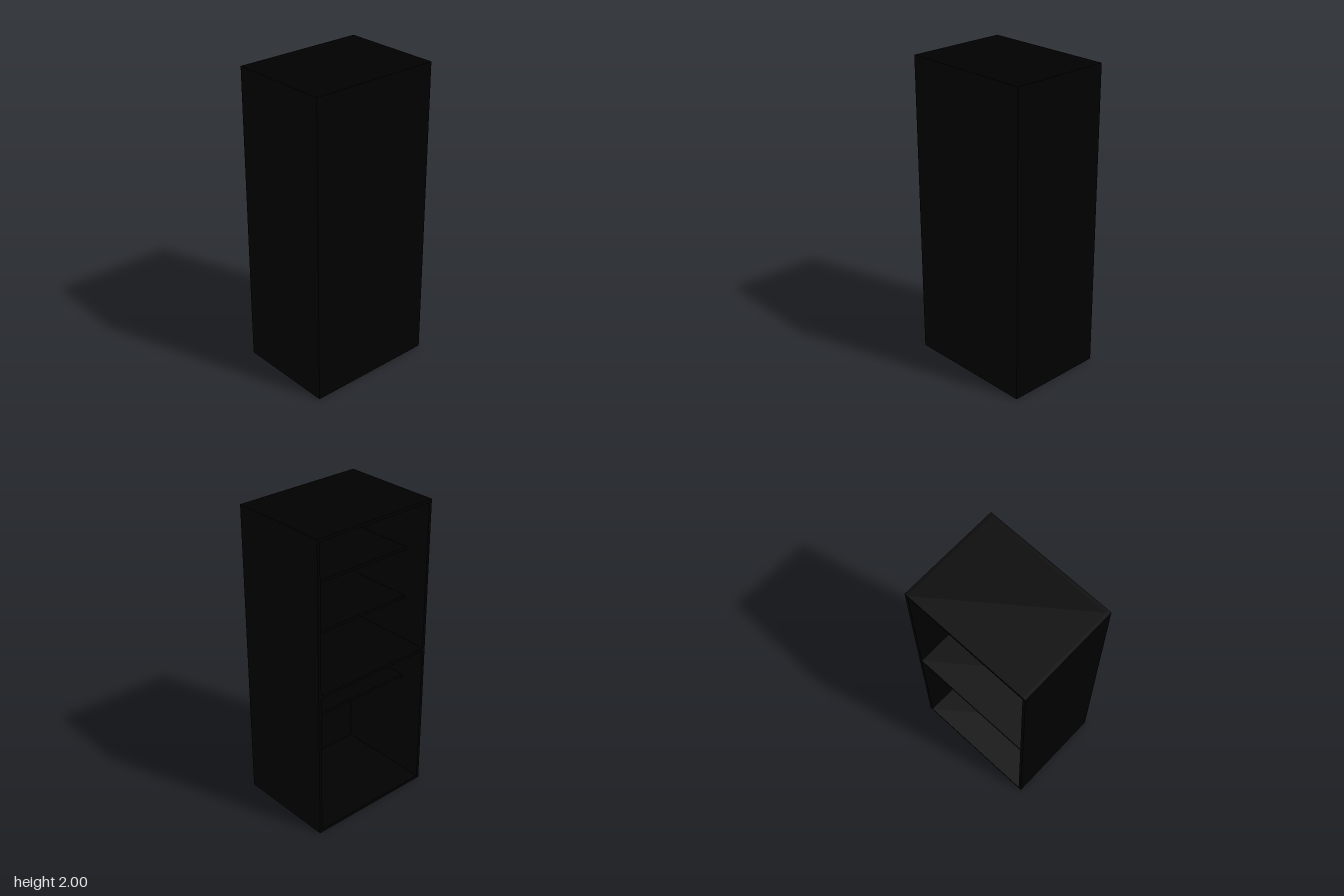
import * as THREE from 'three';

const W = 0.88, H = 2, D = 0.674, T = 0.02;

export function createModel() {
  const group = new THREE.Group();
  group.name = 'cabinet';
  const black = new THREE.MeshStandardMaterial({ color: 0x000000 });

  const board = (name, w, h, d, x, y, z) => {
    const mesh = new THREE.Mesh(new THREE.BoxGeometry(w, h, d), black);
    mesh.name = name;
    mesh.position.set(x, y, z);
    group.add(mesh);
  };

  const innerW = W - 2 * T;
  const innerD = D - T;

  // Side walls
  for (const [name, s] of [['leftSide', 1], ['rightSide', -1]]) {
    board(name, T, H, D, s * (W - T) / 2, H / 2, 0);
  }

  // Closed front; the back stays open
  board('frontPanel', innerW, H, T, 0, H / 2, (D - T) / 2);

  // Full-depth floor, middle divider and top
  for (const [name, y] of [['floor', T / 2], ['middleDivider', 1], ['top', H - T / 2]]) {
    board(name, innerW, T, innerD, 0, y, -T / 2);
  }

  // Shallow shelves, set in from the open back
  const shelfD = innerD - 0.17;
  [0.733, 1.307, 1.635].forEach((y, i) => {
    board(`shelf${i + 1}`, innerW, T, shelfD, 0, y, D / 2 - T - shelfD / 2);
  });

  return group;
}
